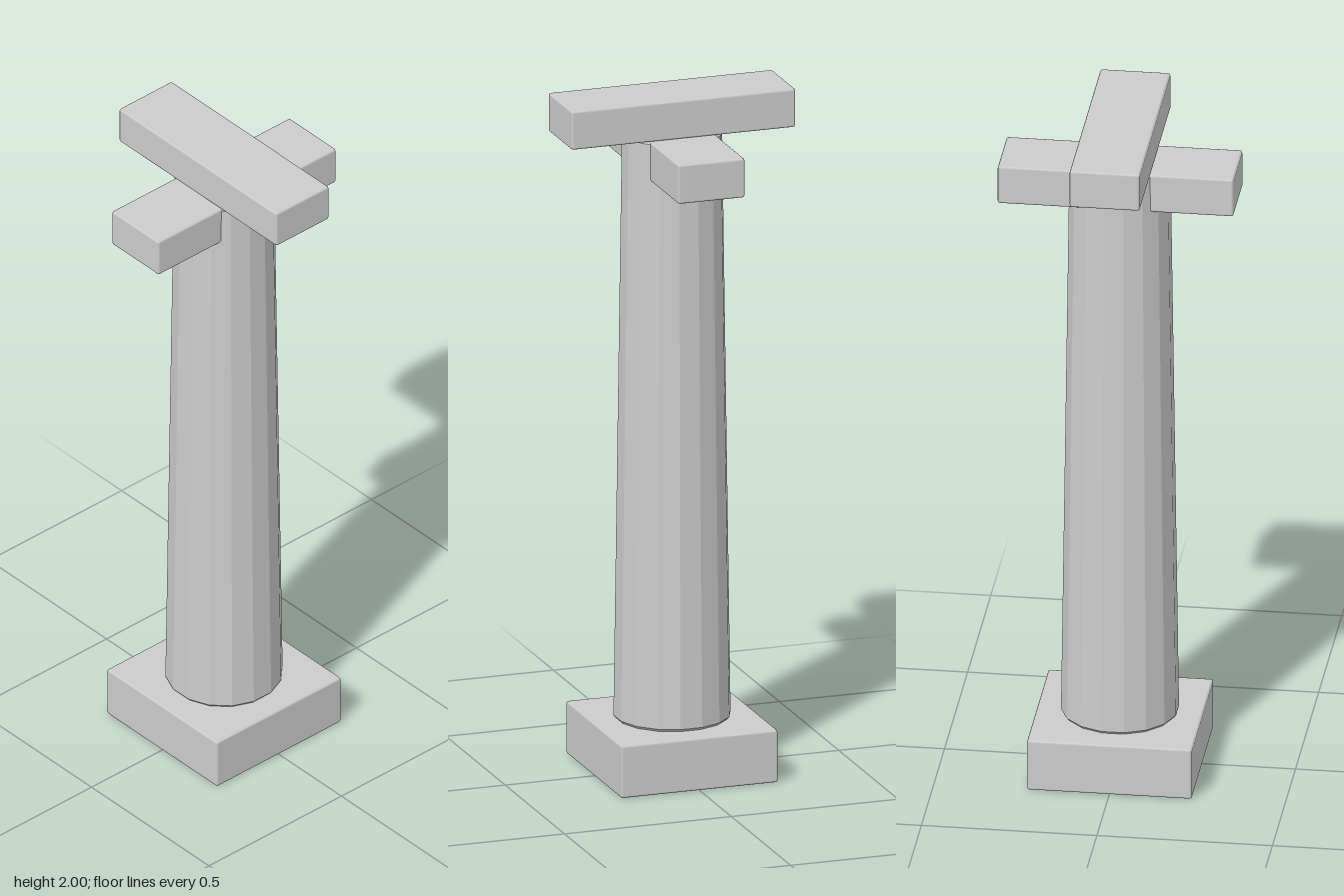
import * as THREE from 'three';
import { RoundedBoxGeometry } from 'three/addons/geometries/RoundedBoxGeometry.js';

export function createModel() {
  const model = new THREE.Group();
  model.name = 'pillar';
  const stone = new THREE.MeshStandardMaterial({ color: 0xcccccc });
  stone.name = 'light grey stone';

  const add = (name, geometry, y) => {
    const mesh = new THREE.Mesh(geometry, stone);
    mesh.name = name;
    mesh.position.y = y;
    model.add(mesh);
  };

  // Block with slightly bevelled edges, spanning y0 to y1
  const block = (name, width, depth, y0, y1) =>
    add(name, new RoundedBoxGeometry(width, y1 - y0, depth, 1, 0.007), (y0 + y1) / 2);

  block('basePlinth', 0.47, 0.47, 0, 0.155);
  block('lowerCrossBeam', 0.672, 0.2, 1.77, 1.886);
  block('upperCrossBeam', 0.2, 0.672, 1.886, 2);

  // Tapered sixteen-sided shaft with bevelled rims and flat facets
  const profile = [
    [0, 0.155], [0.16, 0.155], [0.167, 0.163],
    [0.143, 1.879], [0.136, 1.886], [0, 1.886],
  ].map(([r, y]) => new THREE.Vector2(r, y));
  const shaft = new THREE.LatheGeometry(profile, 16, Math.PI / 16).toNonIndexed();
  shaft.computeVertexNormals();
  add('shaft', shaft, 0);

  return model;
}
